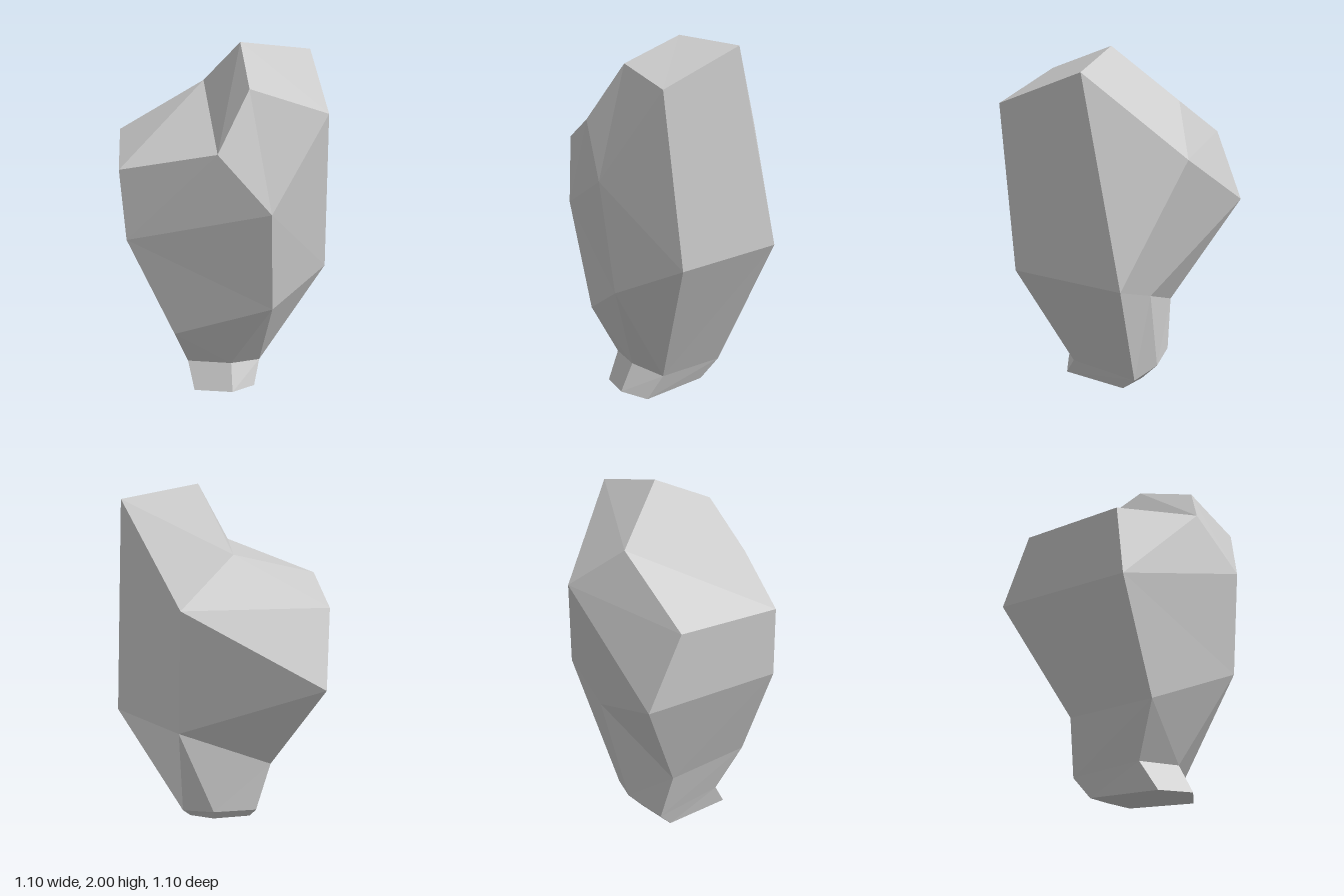
import * as THREE from 'three';

// Six-sided cross-sections from the foot up; corners run front, left, back, right.
const rings = [
  // foot
  [[0.04, 0.02, 0.31], [0.18, 0, 0.23], [0.18, 0.02, -0.17], [0.04, 0.03, -0.22], [-0.18, 0.01, -0.17], [-0.18, 0, 0.24]],
  // neck above the foot
  [[0.04, 0.17, 0.23], [0.22, 0.13, 0.15], [0.22, 0.13, -0.27], [0.04, 0.15, -0.32], [-0.21, 0.12, -0.26], [-0.21, 0.15, 0.15]],
  // lower body
  [[0.23, 0.68, 0.48], [0.55, 0.83, 0.29], [0.55, 0.87, -0.37], [0.23, 0.71, -0.37], [-0.29, 0.42, -0.23], [-0.29, 0.43, 0.28]],
  // shoulder
  [[0.2, 1.27, 0.55], [0.5, 1.73, 0.38], [0.5, 1.94, -0.12], [0.2, 1.5, -0.55], [-0.53, 1.06, -0.55], [-0.53, 1.03, 0.265]],
  // crown, folded along the line from front to back
  [[-0.06, 1.56, 0.445], [0.11, 1.85, 0.32], [0.11, 2, -0.05], [-0.06, 1.72, -0.36], [-0.55, 1.44, -0.37], [-0.55, 1.42, 0.235]],
];

function loftFacets() {
  const positions = [];
  const tri = (...corners) => corners.forEach((p) => positions.push(...p));

  // Side bands; the two front facets of the body are split the other way
  for (let i = 0; i < rings.length - 1; i++) {
    for (let j = 0; j < 6; j++) {
      const k = (j + 1) % 6;
      const a = rings[i][j], b = rings[i][k], c = rings[i + 1][k], d = rings[i + 1][j];
      const flipped = (i === 1 || i === 2) && (j === 0 || j === 5);
      if (flipped) { tri(a, b, d); tri(b, c, d); }
      else { tri(a, b, c); tri(a, c, d); }
    }
  }

  // Underside
  const foot = rings[0];
  for (let j = 1; j < 5; j++) tri(foot[0], foot[j + 1], foot[j]);

  // Crown: steep facet and low facet meeting at the fold
  const [f, l, e, b, g, h] = rings[4];
  tri(f, l, e); tri(f, e, b);
  tri(b, g, h); tri(b, h, f);

  const geometry = new THREE.BufferGeometry();
  geometry.setAttribute('position', new THREE.Float32BufferAttribute(positions, 3));
  geometry.computeVertexNormals();
  return geometry;
}

export function createModel() {
  const group = new THREE.Group();
  group.name = 'facetedRock';
  const material = new THREE.MeshStandardMaterial({ color: 0xcccccc, flatShading: true });
  const rock = new THREE.Mesh(loftFacets(), material);
  rock.name = 'rockBody';
  group.add(rock);
  return group;
}
